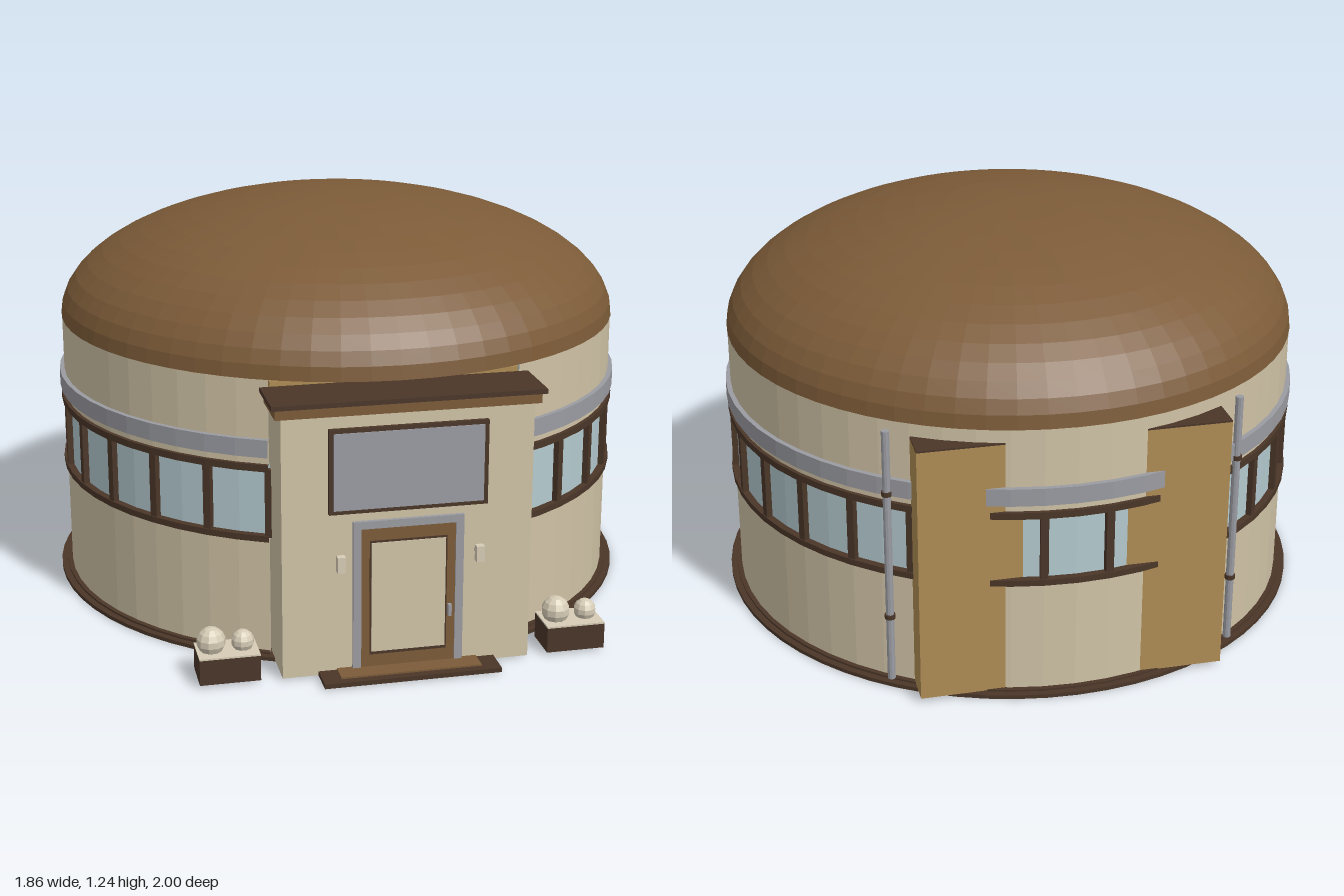
import * as THREE from 'three';

const mat = (name, color, flatShading = true) => {
  const m = new THREE.MeshStandardMaterial({ color, flatShading });
  m.name = name;
  return m;
};

export function createModel() {
  const cream = mat('cream render', 0xd0c3a6);
  const roofBrown = mat('roof brown', 0x7c5b38);
  const darkBrown = mat('dark brown', 0x4a3628);
  const ochre = mat('ochre', 0xb08d55);
  const glass = mat('glass', 0xb4cacf);
  const grey = mat('grey metal', 0x9b9ca2);
  const stone = mat('pale stone', 0xd6ccb6);

  const model = new THREE.Group();
  model.name = 'domedBuilding';
  const CZ = -0.07;                                   // centre of the round hall
  const hall = new THREE.Group();
  hall.name = 'roundHall';
  hall.position.z = CZ;
  model.add(hall);

  const add = (parent, name, geo, material, x = 0, y = 0, z = 0) => {
    const m = new THREE.Mesh(geo, material);
    m.name = name;
    m.position.set(x, y, z);
    parent.add(m);
    return m;
  };
  // box given by its limits
  const box = (name, material, x0, x1, y0, y1, z0, z1, parent = model) =>
    add(parent, name, new THREE.BoxGeometry(x1 - x0, y1 - y0, z1 - z0), material,
      (x0 + x1) / 2, (y0 + y1) / 2, (z0 + z1) / 2);

  // curved band around the hall, open where the entrance stands
  const START = THREE.MathUtils.degToRad(24.7);
  const SWEEP = Math.PI * 2 - START * 2;
  const PANES = 25;
  const ring = (name, material, r0, r1, y0, y1) => {
    const profile = [[r0, y0], [r1, y0], [r1, y1], [r0, y1], [r0, y0]]
      .map(p => new THREE.Vector2(...p));
    return add(hall, name, new THREE.LatheGeometry(profile, PANES * 2, START, SWEEP), material);
  };

  // base and walls
  add(hall, 'basePlinth', new THREE.CylinderGeometry(0.93, 0.93, 0.012, 64), darkBrown, 0, 0.006);
  ring('skirting', darkBrown, 0.88, 0.91, 0.01, 0.018);
  ring('lowerWall', cream, 0.86, 0.895, 0.01, 0.375);
  ring('upperWall', cream, 0.86, 0.895, 0.6, 0.865);

  // window band
  ring('windowGlass', glass, 0.87, 0.885, 0.37, 0.605);
  ring('windowSill', darkBrown, 0.87, 0.907, 0.367, 0.386);
  ring('windowHead', darkBrown, 0.87, 0.907, 0.584, 0.605);
  for (let i = 0; i <= PANES; i++) {
    const a = START + SWEEP * i / PANES;
    const m = add(hall, 'windowMullion', new THREE.BoxGeometry(0.024, 0.21, 0.03), darkBrown,
      Math.sin(a) * 0.888, 0.486, Math.cos(a) * 0.888);
    m.rotation.y = a;
  }
  ring('metalBand', grey, 0.88, 0.91, 0.628, 0.682);

  // dome roof
  const dome = [new THREE.Vector2(0, 0.86)];
  for (let i = 0; i <= 14; i++) {
    const t = i / 14 * Math.PI / 2;
    dome.push(new THREE.Vector2(i === 14 ? 0 : 0.897 * Math.cos(t), 0.86 + 0.38 * Math.sin(t)));
  }
  add(hall, 'domeRoof', new THREE.LatheGeometry(dome, 64), roofBrown);

  // rear service block, showing on both sides of the curved wall
  box('rearBlock', ochre, -0.46, 0.46, 0.015, 0.815, -0.94, -0.82);
  box('rearBlockCap', darkBrown, -0.46, 0.46, 0.815, 0.82, -0.94, -0.82);

  // drainpipes
  for (const s of [-1, 1]) {
    const pipe = new THREE.Group();
    pipe.name = 'drainpipe';
    pipe.position.set(s * 0.525, 0, -0.812);
    model.add(pipe);
    add(pipe, 'pipe', new THREE.CylinderGeometry(0.012, 0.012, 0.815, 10), grey, 0, 0.425);
    for (const y of [0.23, 0.635])
      add(pipe, 'pipeCollar', new THREE.CylinderGeometry(0.016, 0.016, 0.014, 10), darkBrown, 0, y);
  }

  // entrance block and canopy
  box('entranceBlock', cream, -0.37, 0.37, 0.005, 0.797, 0.7, 0.91);
  box('canopyFascia', roofBrown, -0.388, 0.388, 0.795, 0.826, 0.745, 0.922);
  box('canopySlab', darkBrown, -0.4, 0.4, 0.826, 0.84, 0.745, 0.935);
  box('roofJoint', ochre, -0.37, 0.37, 0.8, 0.855, 0.68, 0.745);

  // blank notice board
  box('boardFrame', darkBrown, -0.235, 0.232, 0.503, 0.757, 0.905, 0.924);
  box('boardPanel', grey, -0.222, 0.219, 0.515, 0.745, 0.92, 0.927);

  // door
  for (const s of [-1, 1])
    box('doorSurroundSide', grey, s * 0.152 - 0.012, s * 0.152 + 0.012, 0.015, 0.475, 0.9, 0.922);
  box('doorSurroundTop', grey, -0.164, 0.164, 0.452, 0.475, 0.9, 0.922);
  box('doorFrame', roofBrown, -0.14, 0.14, 0.015, 0.452, 0.9, 0.918);
  box('doorEdge', darkBrown, -0.115, 0.115, 0.06, 0.414, 0.91, 0.92);
  box('doorPanel', cream, -0.11, 0.11, 0.07, 0.408, 0.915, 0.923);
  box('doorHandle', grey, 0.118, 0.128, 0.165, 0.2, 0.915, 0.932);

  // wall lamps
  for (const s of [-1, 1]) {
    box('lampArm', grey, s * 0.205 - 0.006, s * 0.205 + 0.006, 0.354, 0.366, 0.9, 0.94);
    box('lampShade', stone, s * 0.205 - 0.012, s * 0.205 + 0.012, 0.337, 0.385, 0.935, 0.957);
  }

  // doorstep
  box('doorstep', darkBrown, -0.264, 0.264, 0.003, 0.017, 0.9, 1.0);
  box('doorstepTread', roofBrown, -0.21, 0.21, 0.015, 0.022, 0.9, 0.975);

  // planters with clipped round shrubs
  for (const x of [-0.523, 0.52]) {
    const planter = new THREE.Group();
    planter.name = 'planter';
    planter.position.set(x, 0, 0.853);
    model.add(planter);
    box('planterBox', darkBrown, -0.089, 0.089, 0.008, 0.085, -0.06, 0.06, planter);
    box('planterTop', stone, -0.089, 0.089, 0.085, 0.09, -0.06, 0.06, planter);
    add(planter, 'largeShrub', new THREE.SphereGeometry(0.043, 10, 7), stone, -0.046, 0.118);
    add(planter, 'smallShrub', new THREE.SphereGeometry(0.034, 10, 7), stone, 0.046, 0.111);
  }
  return model;
}
